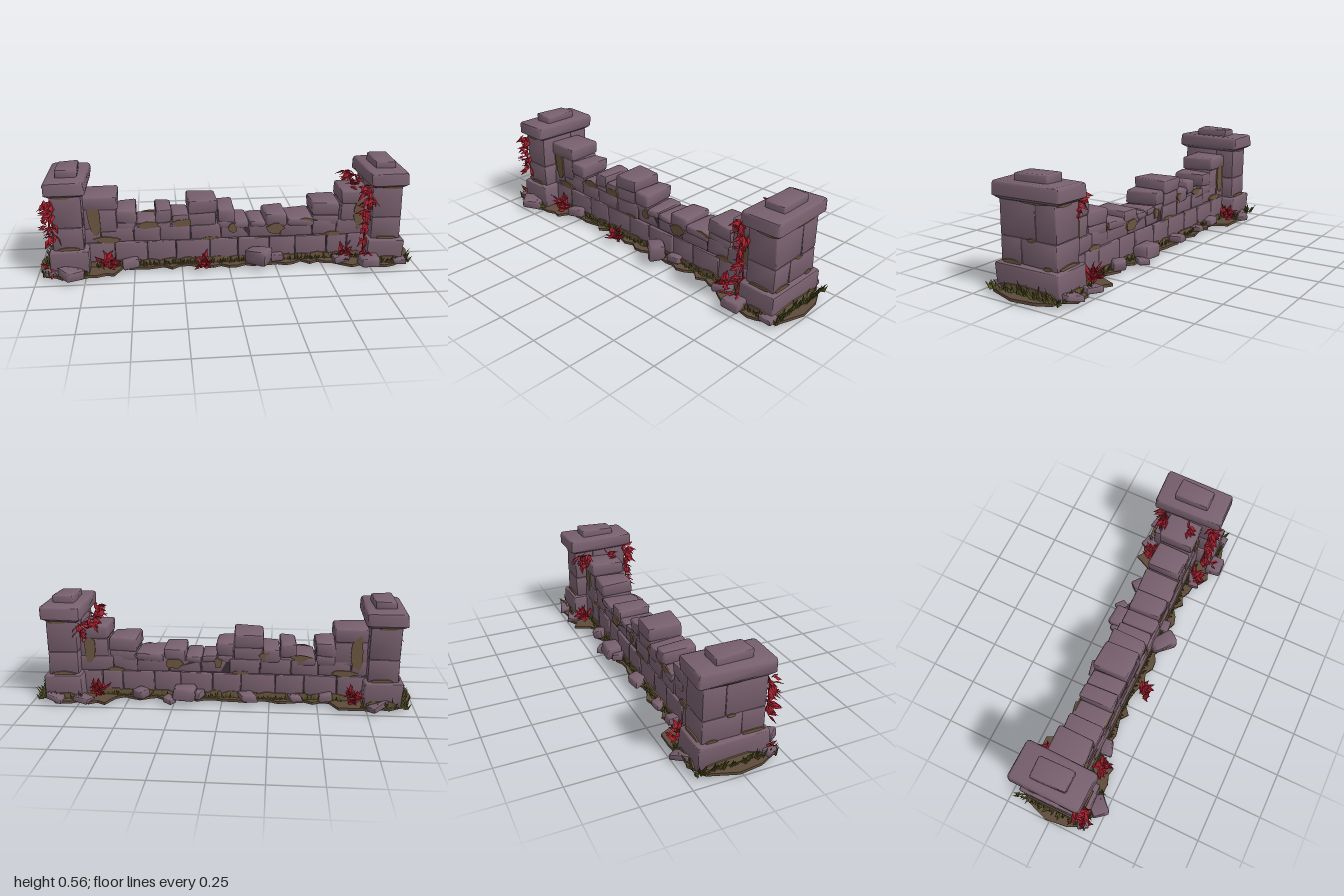
import * as THREE from 'three';
import { mergeGeometries, toCreasedNormals } from 'three/addons/utils/BufferGeometryUtils.js';
import { RoundedBoxGeometry } from 'three/addons/geometries/RoundedBoxGeometry.js';

const ZC = -0.015; // the masonry sits a little behind the centre line

export function createModel() {
  let seed = 11;
  const rnd = (a = 0, b = 1) => {
    seed = (seed * 16807) % 2147483647;
    return a + (b - a) * (seed / 2147483647);
  };
  const mat = (name, color, side = THREE.FrontSide) => {
    const m = new THREE.MeshStandardMaterial({ color, side });
    m.name = name;
    return m;
  };
  const stoneMat = mat('mauve stone', 0x78606e);
  const mortarMat = mat('dark joints', 0x3c2e34);
  const mossMat = mat('brown moss', 0x6b5640);
  const groundMat = mat('earth', 0x5e4a3a);
  const grassMat = mat('olive grass', 0x525420, THREE.DoubleSide);
  const leafMat = mat('red leaves', 0xa3202e, THREE.DoubleSide);

  const model = new THREE.Group();
  model.name = 'ruinedWall';
  const add = (name, geo, material) => {
    const mesh = new THREE.Mesh(geo, material);
    mesh.name = name;
    model.add(mesh);
    return mesh;
  };

  // Worn block between two corners, with a gentle wobble
  const block = (x0, x1, y0, y1, z0, z1, r = 0.01, wobble = 0.004) => {
    const g = new RoundedBoxGeometry(x1 - x0, y1 - y0, z1 - z0, 1, r);
    const p = g.attributes.position, s = rnd(0, 50);
    for (let i = 0; i < p.count; i++) {
      const x = p.getX(i), y = p.getY(i), z = p.getZ(i);
      p.setXYZ(i,
        x + wobble * Math.sin(s + 21 * y + 13 * z),
        y + wobble * Math.sin(s * 2 + 17 * x + 15 * z),
        z + wobble * Math.sin(s * 3 + 19 * x + 23 * y));
    }
    g.translate((x0 + x1) / 2, (y0 + y1) / 2, (z0 + z1) / 2);
    return toCreasedNormals(g, 0.8);
  };

  // Ground slab with a ragged outline, wider round the pillars
  const halfWidth = x => {
    const a = Math.abs(x);
    return a < 0.58 ? 0.13 : a < 0.9 ? 0.205 : 0.17;
  };
  const outline = [[-1, 0.02]];
  for (const side of [1, -1]) {
    for (let i = 0; i <= 44; i++) {
      const x = side * (-0.95 + i * 1.9 / 44);
      outline.push([x, side * (halfWidth(x) + rnd(-0.02, 0.025)) - ZC]);
    }
    outline.push([side * 0.985, side * 0.1], [side, -side * 0.02]);
  }
  outline.pop();
  const ground = new THREE.ExtrudeGeometry(
    new THREE.Shape(outline.map(p => new THREE.Vector2(...p))), { depth: 0.014, bevelEnabled: false });
  ground.rotateX(-Math.PI / 2);
  add('ground', ground, groundMat);

  // Two lower courses of the wall
  const courses = [];
  const course = (xs, y0, y1, depth) => {
    for (let i = 0; i + 1 < xs.length; i++) {
      const d = depth / 2 + rnd(-0.004, 0.005);
      courses.push(block(xs[i] + 0.001, xs[i + 1] - 0.001, y0, y1, ZC - d, ZC + d, 0.008, 0.002));
    }
  };
  course([-0.76, -0.6, -0.43, -0.28, -0.1, 0.05, 0.22, 0.36, 0.53, 0.64, 0.76], 0.005, 0.145, 0.19);
  course([-0.76, -0.67, -0.5, -0.36, -0.2, -0.04, 0.11, 0.28, 0.45, 0.58, 0.76], 0.144, 0.225, 0.18);

  // Broken top: [left, right, height]
  const steps = [[-0.76, -0.58, 0.4], [-0.59, -0.485, 0.32], [-0.485, -0.38, 0.25], [-0.385, -0.3, 0.315],
    [-0.3, -0.21, 0.285], [-0.215, -0.06, 0.36], [-0.06, 0.03, 0.31], [0.03, 0.11, 0.24],
    [0.11, 0.195, 0.235], [0.195, 0.31, 0.27], [0.31, 0.455, 0.245], [0.45, 0.6, 0.325], [0.6, 0.76, 0.39]];
  for (const [x0, x1, h] of steps) {
    const y = Math.max(0.2, h - 0.075), d = rnd(0.09, 0.1);
    if (y > 0.23) courses.push(block(x0 + 0.004, x1 - 0.004, 0.2, y + 0.004, ZC - 0.088, ZC + 0.088, 0.008, 0.002));
    courses.push(block(x0, x1, y, h, ZC - d, ZC + d, 0.013, 0.004));
  }
  add('wallStones', mergeGeometries(courses), stoneMat);
  const core = new THREE.BoxGeometry(1.5, 0.21, 0.17);
  add('wallCore', core.translate(0, 0.11, ZC), mortarMat);

  // Pillars: plinth, split shaft, overhanging cap and top block
  for (const side of [-1, 1]) {
    const c = 0.83 * side, z = -0.01, parts = [];
    parts.push(block(c - 0.1, c + 0.1, 0.005, 0.14, z - 0.185, z + 0.185, 0.012));
    for (const [y0, y1, split] of [[0.138, 0.26, 0.03], [0.259, 0.435, -0.055]]) {
      parts.push(block(c - 0.079, c + 0.079, y0, y1, z - 0.16, split, 0.007, 0.002));
      parts.push(block(c - 0.079, c + 0.079, y0, y1, split, z + 0.16, 0.007, 0.002));
    }
    const cap = block(c - 0.104, c + 0.104, 0.425, 0.51, z - 0.192, z + 0.192, 0.018, 0.004);
    const p = cap.attributes.position;
    for (let i = 0; i < p.count; i++) { // chamfered underside
      if (p.getY(i) < 0.44) {
        p.setX(i, c + (p.getX(i) - c) * 0.9);
        p.setZ(i, z + (p.getZ(i) - z) * 0.92);
      }
    }
    parts.push(toCreasedNormals(cap, 0.8));
    parts.push(block(c - 0.055, c + 0.055, 0.49, 0.547, z - 0.095, z + 0.095, 0.01));
    add(side < 0 ? 'rightPillar' : 'leftPillar', mergeGeometries(parts), stoneMat);
  }

  // Moss: thin ragged plates; ry turns the plate to its face
  const moss = [];
  const patch = (x, y, z, w, h, ry) => {
    const pts = [];
    for (let i = 0; i < 11; i++) {
      const a = i / 11 * Math.PI * 2, k = rnd(0.7, 1.1);
      pts.push(new THREE.Vector2(Math.cos(a) * w / 2 * k, Math.sin(a) * h / 2 * k));
    }
    const g = new THREE.ExtrudeGeometry(new THREE.Shape(pts), { depth: 0.008, bevelEnabled: false });
    moss.push(g.rotateY(ry).translate(x, y, z));
  };
  for (const f of [1, -1]) {
    const ry = f > 0 ? 0 : Math.PI, wz = ZC + f * 0.089;
    for (const [x, y, w, h] of [[-0.7, 0.28, 0.07, 0.22], [-0.64, 0.16, 0.14, 0.04], [-0.42, 0.235, 0.13, 0.04],
      [-0.24, 0.24, 0.1, 0.05], [0.02, 0.2, 0.05, 0.06], [0.25, 0.19, 0.1, 0.06], [0.42, 0.23, 0.1, 0.03],
      [0.56, 0.15, 0.1, 0.03], [0.7, 0.26, 0.06, 0.18], [-0.1, 0.15, 0.1, 0.02]]) patch(x, y, wz, w, h, ry);
    for (let x = -0.68; x < 0.7; x += 0.09) patch(x, 0.025, ZC + f * 0.096, 0.13, 0.05, ry);
    for (const s of [-1, 1]) {
      patch(s * 0.83, 0.145, -0.01 + f * 0.16, 0.13, 0.02, ry);
      patch(s * 0.85, 0.425, -0.01 + f * 0.158, 0.1, 0.02, ry);
      patch(s * 0.83, 0.03, -0.01 + f * 0.184, 0.17, 0.04, ry);
    }
  }
  for (const s of [-1, 1]) {
    const ry = s * Math.PI / 2;
    for (const [y, z, w, h] of [[0.145, 0.09, 0.13, 0.02], [0.26, -0.03, 0.05, 0.02], [0.145, -0.12, 0.06, 0.02],
      [0.427, -0.05, 0.2, 0.014]]) patch(s * 0.907, y, z, w, h, ry);
    patch(s * 0.929, 0.03, -0.01, 0.33, 0.05, ry);
  }
  add('moss', mergeGeometries(moss), mossMat);

  // Grass blades leaning away from the masonry
  const blades = [];
  const dummy = new THREE.Object3D();
  const blade = (x, z, dx, dz, h) => {
    const g = new THREE.ConeGeometry(rnd(0.006, 0.01), h, 3, 1, true).translate(0, h / 2, 0);
    dummy.position.set(x, 0.012, z);
    dummy.quaternion.setFromUnitVectors(new THREE.Vector3(0, 1, 0),
      new THREE.Vector3(dx + rnd(-0.4, 0.4), 1.3, dz + rnd(-0.4, 0.4)).normalize());
    dummy.updateMatrix();
    blades.push(g.applyMatrix4(dummy.matrix));
  };
  for (const f of [1, -1]) {
    for (let x = -0.7; x < 0.7; x += 0.011) blade(x, ZC + f * rnd(0.095, 0.115), 0, f * 0.4, rnd(0.02, 0.045));
    for (const s of [-1, 1]) {
      for (let i = 0; i < 22; i++) blade(s * rnd(0.72, 0.96), -0.01 + f * rnd(0.185, 0.2), s * 0.2, f * 0.5, rnd(0.025, 0.06));
    }
  }
  for (const s of [-1, 1]) {
    for (let i = 0; i < 46; i++) blade(s * rnd(0.93, 0.955), rnd(-0.2, 0.18), s * 0.6, 0, rnd(0.03, 0.075));
  }
  const turf = mergeGeometries(blades).toNonIndexed();
  turf.computeVertexNormals();
  add('grass', turf, grassMat);

  // Fallen stones: [x, z, width, height, depth]
  const rocks = [[-0.82, 0.195, 0.11, 0.05, 0.09], [-0.92, 0.16, 0.07, 0.03, 0.06], [-0.52, 0.11, 0.09, 0.05, 0.06],
    [0.16, 0.125, 0.14, 0.09, 0.09], [0.26, 0.105, 0.07, 0.04, 0.05], [0.6, 0.125, 0.09, 0.04, 0.06],
    [0.73, 0.2, 0.1, 0.05, 0.09], [0.9, 0.18, 0.07, 0.03, 0.06], [-0.8, -0.215, 0.1, 0.03, 0.07],
    [-0.54, -0.135, 0.07, 0.04, 0.06], [-0.39, -0.14, 0.06, 0.03, 0.05], [-0.14, -0.15, 0.08, 0.04, 0.07],
    [0.13, -0.14, 0.07, 0.04, 0.06], [0.2, -0.16, 0.12, 0.07, 0.09], [0.27, -0.18, 0.06, 0.03, 0.05],
    [0.42, -0.145, 0.07, 0.05, 0.06], [0.72, -0.215, 0.09, 0.03, 0.07], [0.87, -0.215, 0.09, 0.03, 0.07]];
  const rubble = rocks.map(([x, z, w, h, d]) => block(-w / 2, w / 2, 0, h, -d / 2, d / 2, Math.min(h, d) * 0.22, 0.008)
    .rotateY(rnd(-0.8, 0.8)).rotateZ(rnd(-0.15, 0.15)).translate(x, 0.01, z));
  add('fallenStones', mergeGeometries(rubble), stoneMat);

  // Folded pointed leaves, gathered in sprays
  const leaves = [];
  const leaf = (x, y, z, dir, len) => {
    const w = len * 0.24, m = len * 0.4;
    const g = new THREE.BufferGeometry();
    g.setAttribute('position', new THREE.Float32BufferAttribute([
      0, 0, 0, w, 0, m, 0, w * 0.5, m, 0, 0, 0, 0, w * 0.5, m, -w, 0, m,
      w, 0, m, 0, 0, len, 0, w * 0.5, m, 0, w * 0.5, m, 0, 0, len, -w, 0, m], 3));
    dummy.position.set(x, y, z);
    dummy.lookAt(x + dir.x, y + dir.y, z + dir.z);
    dummy.rotateZ(rnd(-0.7, 0.7));
    dummy.updateMatrix();
    leaves.push(g.applyMatrix4(dummy.matrix));
  };
  const spray = (x, y, z, dx, dy, dz, n, len, spread) => {
    for (let i = 0; i < n; i++) {
      const dir = new THREE.Vector3(dx + rnd(-1, 1), dy + rnd(-0.7, 0.7), dz + rnd(-1, 1)).normalize();
      leaf(x + rnd(-1, 1) * spread, Math.max(0.015, y + rnd(-1, 1) * spread), z + rnd(-1, 1) * spread * 0.5,
        dir, len * rnd(0.7, 1.15));
    }
  };
  for (const [x, z, f] of [[-0.64, 0.13, 1], [-0.15, 0.145, 1], [0.61, 0.12, 1], [-0.67, -0.165, -1], [0.65, -0.165, -1]])
    spray(x, x === -0.15 ? 0.02 : 0.04, z, 0, 0.7, f * 0.4, 24, 0.065, 0.025);
  spray(-0.92, 0.04, 0.16, -0.6, 0.3, 0.5, 8, 0.055, 0.02);
  spray(0.73, 0.06, 0.18, -0.2, 0.3, 0.6, 8, 0.05, 0.02);

  // Climbing ivy: stem with leaves, sparse or dense per point
  const ivy = (pts, dx, dz, counts) => {
    const curve = new THREE.CatmullRomCurve3(pts.map(p => new THREE.Vector3(...p)));
    add('ivyStem', new THREE.TubeGeometry(curve, 16, 0.005, 5), leafMat);
    pts.forEach((p, i) => spray(...p, dx, -0.5, dz, counts[i], 0.06, 0.02));
  };
  ivy([[-0.9, 0.23, 0.155], [-0.915, 0.28, 0.155], [-0.912, 0.34, 0.155], [-0.915, 0.4, 0.15]], -0.5, 0.6, [9, 12, 12, 10]);
  ivy([[0.72, 0.05, 0.12], [0.722, 0.14, 0.13], [0.72, 0.22, 0.14], [0.725, 0.3, 0.15], [0.73, 0.37, 0.155], [0.72, 0.42, 0.15]],
    -0.3, 0.5, [6, 4, 7, 9, 12, 20]);
  ivy([[0.74, 0.36, -0.13], [0.735, 0.4, -0.14], [0.69, 0.425, -0.12]], -0.5, -0.5, [5, 9, 12]);
  spray(0.69, 0.41, 0.02, -0.6, 0.3, 0.4, 10, 0.06, 0.02);
  const foliage = mergeGeometries(leaves);
  foliage.computeVertexNormals();
  add('redLeaves', foliage, leafMat);

  return model;
}
